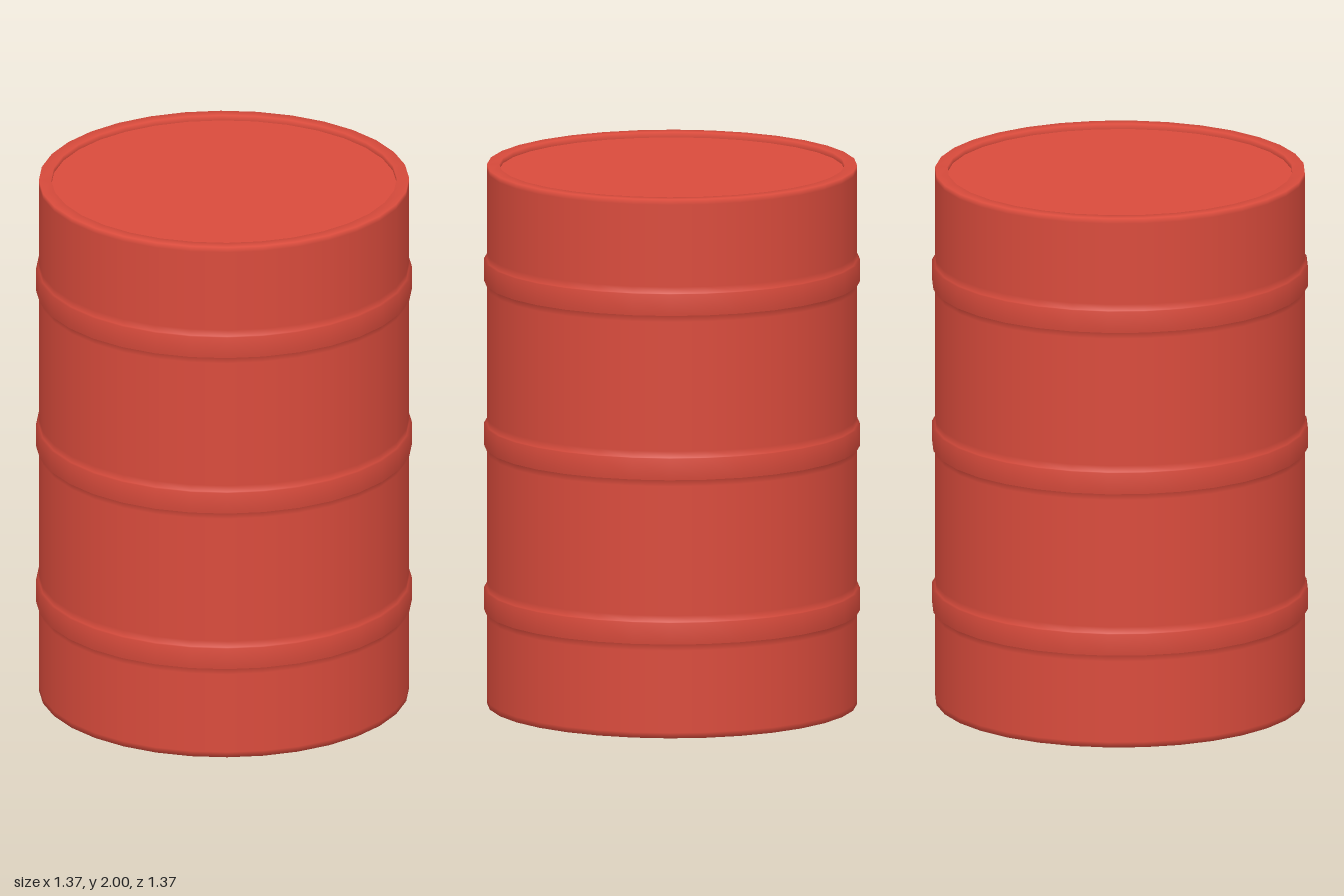
import * as THREE from 'three';

const SIDES = 32;
const R = 0.675;       // wall radius
const BAND_R = 0.686;  // raised band radius
const LID_R = 0.63;
const LID_Y = 1.98;
const BASE_R = 0.648;

export function createModel() {
  const drum = new THREE.Group();
  drum.name = 'drum';
  const red = new THREE.MeshStandardMaterial({ color: 0xd94b3c });

  const add = (name, geometry, y = 0, rx = 0) => {
    const mesh = new THREE.Mesh(geometry, red);
    mesh.name = name;
    mesh.position.y = y;
    mesh.rotation.x = rx;
    drum.add(mesh);
  };

  // Wall profile, bottom to top: foot edge, three raised bands, rolled rim
  const profile = [[BASE_R, 0], [R, 0], [R, 0.02]];
  for (const y of [0.39, 1.0, 1.61]) {
    profile.push(
      [R, y - 0.065], [R, y - 0.04], [BAND_R, y - 0.04],
      [BAND_R, y + 0.04], [R, y + 0.04], [R, y + 0.065],
    );
  }
  profile.push([R, 1.98], [R, 2], [LID_R, 2], [LID_R, LID_Y]);

  const wall = new THREE.LatheGeometry(profile.map(([x, y]) => new THREE.Vector2(x, y)), SIDES);
  wall.normalizeNormals();
  add('wall', wall);

  // Recessed lid and flat base
  add('lid', new THREE.CircleGeometry(LID_R, SIDES), LID_Y, -Math.PI / 2);
  add('base', new THREE.CircleGeometry(BASE_R, SIDES), 0, Math.PI / 2);

  return drum;
}
